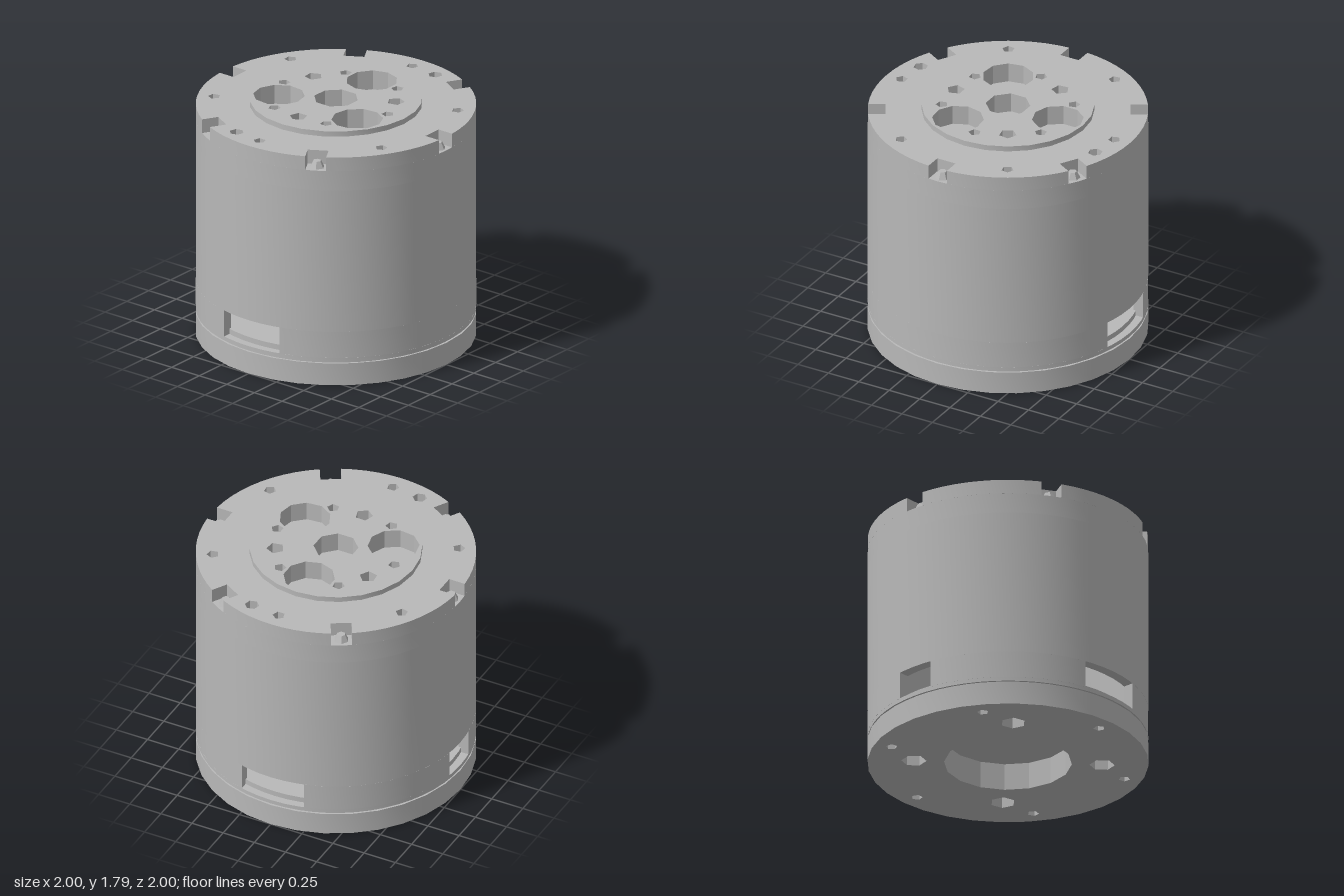
import * as THREE from 'three';
import { toCreasedNormals } from 'three/addons/utils/BufferGeometryUtils.js';

const DEG = Math.PI / 180;
const polar = (r, a) => new THREE.Vector2(r * Math.cos(a), r * Math.sin(a));

// Regular polygon outline around a centre
function ngon(r, sides, centre = new THREE.Vector2(), turn = 0) {
  return Array.from({ length: sides }, (_, i) =>
    polar(r, turn + (i / sides) * Math.PI * 2).add(centre));
}

// Ring of equal holes: angles in degrees, counted from +x towards -z
function holeRing(ringRadius, angles, r, sides) {
  return angles.map((d) => ngon(r, sides, polar(ringRadius, d * DEG), d * DEG));
}

const every60 = (start) => Array.from({ length: 6 }, (_, i) => start + i * 60);

// Round rim outline with six square notches
function notchedOutline(r, inner, half) {
  const pts = [];
  const da = Math.asin(half / r);
  for (const deg of every60(30)) {
    const a = deg * DEG;
    const d = polar(1, a);
    const t = polar(1, a + Math.PI / 2);
    const at = (u, v) => d.clone().multiplyScalar(u).addScaledVector(t, v);
    pts.push(polar(r, a - da), at(inner, -half), at(inner, half));
    const span = Math.PI / 3 - 2 * da;
    for (let i = 0; i < 10; i++) pts.push(polar(r, a + da + (span * i) / 10));
  }
  return pts;
}

// Wall segment between two outer angles, ends cut parallel to the opening
function wallSector(rOut, rIn, a0, a1, in0, in1) {
  const n = 20;
  const pts = [];
  for (let i = 0; i <= n; i++) pts.push(polar(rOut, a0 + ((a1 - a0) * i) / n));
  for (let i = n; i >= 0; i--) pts.push(polar(rIn, in0 + ((in1 - in0) * i) / n));
  return pts;
}

export function createModel() {
  const group = new THREE.Group();
  group.name = 'motorHousing';
  const metal = new THREE.MeshStandardMaterial({ color: 0xb8b8b8 });
  metal.name = 'grey metal';

  // Horizontal slab from y0 to y1 with holes
  function slab(name, outline, holes, y0, y1) {
    const shape = new THREE.Shape(outline);
    for (const h of holes) shape.holes.push(new THREE.Path(h));
    const geo = new THREE.ExtrudeGeometry(shape, { depth: y1 - y0, bevelEnabled: false });
    geo.rotateX(-Math.PI / 2);
    const mesh = new THREE.Mesh(toCreasedNormals(geo, 0.35), metal);
    mesh.name = name;
    mesh.position.y = y0;
    group.add(mesh);
  }

  const R = 0.997;
  const WALL = 0.92;
  const SIDES = 60;

  // Bottom cap with shaft recess, four mounting holes and six screw holes
  const recess = ngon(0.455, 16);
  slab('bottomCap', ngon(1, 32), [
    recess,
    ...holeRing(0.67, [45, 135, 225, 315], 0.09, 6),
    ...holeRing(0.87, every60(0), 0.042, 5),
  ], 0, 0.168);
  slab('capSeam', ngon(0.982, SIDES), [recess], 0.168, 0.2);
  slab('innerFloor', ngon(0.94, SIDES), [], 0.2, 0.25);

  // Outer wall: lower ring, segments between the openings, upper tube
  const bore = ngon(WALL, SIDES);
  slab('lowerRing', ngon(R, SIDES), [bore], 0.18, 0.21);
  const windows = [[0, 0.25], [90, 0.145], [180, 0.25], [360, 0.25]];
  for (let i = 0; i < 3; i++) {
    const [d0, h0] = windows[i];
    const [d1, h1] = windows[i + 1];
    const start = (r) => d0 * DEG + Math.asin(h0 / r);
    const end = (r) => d1 * DEG - Math.asin(h1 / r);
    slab('wallBetweenWindows',
      wallSector(R, WALL, start(R), end(R), start(WALL), end(WALL)), [], 0.21, 0.41);
  }
  slab('outerWall', ngon(R, SIDES), [bore], 0.41, 1.5);
  slab('topBacking', ngon(R, SIDES), [], 1.5, 1.65);

  // Holes shared by the boss and the top plate
  const bossHoles = [
    ngon(0.16, 8, undefined, 22.5 * DEG),
    ...holeRing(0.41, [0, 120, 240], 0.185, 10),
    ...holeRing(0.43, [60, 180, 300], 0.065, 5),
    ...holeRing(0.47, every60(30), 0.045, 5),
  ];
  slab('topPlate', notchedOutline(R, 0.87, 0.075), [
    ...bossHoles,
    ...holeRing(0.875, every60(0), 0.045, 5),
    ...holeRing(0.88, [165, -15], 0.052, 6),
  ], 1.65, 1.755);
  slab('raisedBoss', ngon(0.615, 24), bossHoles, 1.755, 1.795);

  // Screw heads sitting in the rim notches
  for (const d of every60(30)) {
    const p = polar(0.925, d * DEG);
    const geo = new THREE.CylinderGeometry(0.03, 0.055, 0.05, 6).toNonIndexed();
    geo.computeVertexNormals();
    const screw = new THREE.Mesh(geo, metal);
    screw.name = 'rimScrew';
    screw.position.set(p.x, 1.675, -p.y);
    group.add(screw);
  }
  return group;
}
